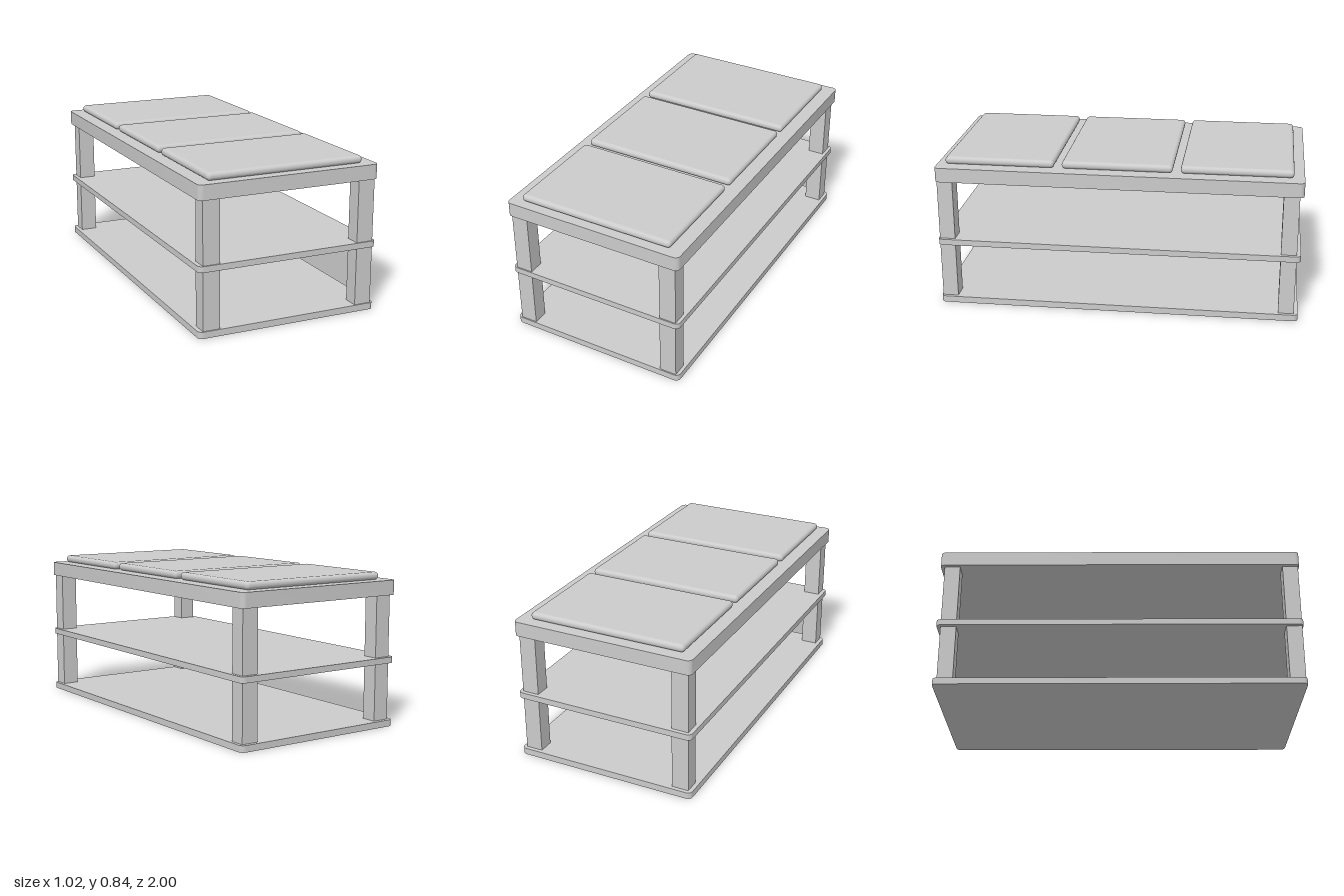
import * as THREE from 'three';
import { RoundedBoxGeometry } from 'three/addons/geometries/RoundedBoxGeometry.js';
import { toCreasedNormals } from 'three/addons/utils/BufferGeometryUtils.js';

const material = new THREE.MeshStandardMaterial({ color: 0xcccccc });

// Horizontal board with rounded vertical corners
function boardGeometry(width, length, height, r) {
  const w = width / 2, l = length / 2;
  const s = new THREE.Shape();
  s.moveTo(-w + r, -l);
  s.lineTo(w - r, -l);
  s.absarc(w - r, -l + r, r, -Math.PI / 2, 0);
  s.lineTo(w, l - r);
  s.absarc(w - r, l - r, r, 0, Math.PI / 2);
  s.lineTo(-w + r, l);
  s.absarc(-w + r, l - r, r, Math.PI / 2, Math.PI);
  s.lineTo(-w, -l + r);
  s.absarc(-w + r, -l + r, r, Math.PI, Math.PI * 1.5);
  const g = new THREE.ExtrudeGeometry(s, { depth: height, bevelEnabled: false, curveSegments: 8 });
  g.rotateX(-Math.PI / 2);
  return toCreasedNormals(g, 0.6);
}

export function createModel() {
  const model = new THREE.Group();
  model.name = 'tieredTable';
  const add = (name, geometry, x, y, z) => {
    const mesh = new THREE.Mesh(geometry, material);
    mesh.name = name;
    mesh.position.set(x, y, z);
    model.add(mesh);
  };

  // Base board, middle shelf and thick top: name, underside, thickness
  const boards = [['baseBoard', 0, 0.036], ['middleShelf', 0.35, 0.033], ['topBoard', 0.72, 0.08]];
  for (const [name, y, height] of boards) {
    add(name, boardGeometry(1.024, 2, height, 0.027), 0, y, 0);
  }

  // Corner posts, in two storeys between the boards
  for (const [storey, y0, y1] of [['lower', 0.036, 0.35], ['upper', 0.383, 0.72]]) {
    for (const [side, x] of [['Left', 0.446], ['Right', -0.442]]) {
      for (const [end, z] of [['Front', 0.95], ['Back', -0.935]]) {
        add(`${storey}${end}${side}Post`, new THREE.BoxGeometry(0.094, y1 - y0, 0.086), x, (y0 + y1) / 2, z);
      }
    }
  }

  // Three soft-edged pads in a row on the top
  ['front', 'middle', 'back'].forEach((place, i) => {
    add(`${place}Pad`, new RoundedBoxGeometry(0.886, 0.042, 0.604, 5, 0.02), -0.002, 0.821, 0.653 - i * 0.647);
  });

  return model;
}
